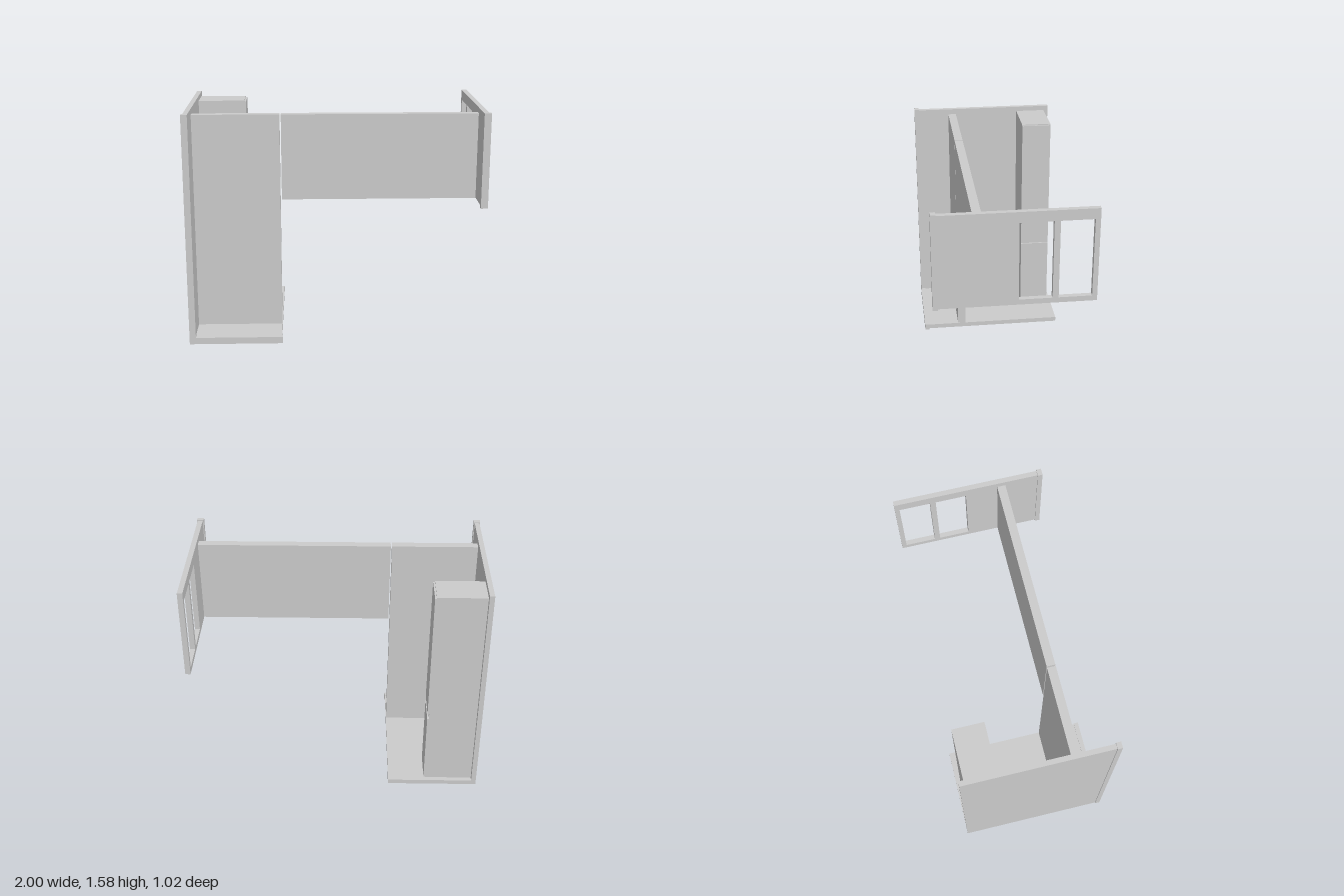
import * as THREE from 'three';

const mat = new THREE.MeshStandardMaterial({ color: 0xcccccc, flatShading: true });

export function createModel() {
  const root = new THREE.Group();

  const add = (name, geo) => {
    const m = new THREE.Mesh(geo, mat);
    m.name = name;
    root.add(m);
    return m;
  };
  // Box given by its limits on each axis
  const box = (name, x0, x1, y0, y1, z0, z1) =>
    add(name, new THREE.BoxGeometry(x1 - x0, y1 - y0, z1 - z0))
      .position.set((x0 + x1) / 2, (y0 + y1) / 2, (z0 + z1) / 2);
  // L-shaped section (upright plus foot) extruded along z
  const ell = (name, x0, xi, x1, y0, yi, y1, z0, z1) => {
    const pts = [[x0, y0], [x1, y0], [x1, yi], [xi, yi], [xi, y1], [x0, y1]];
    const shape = new THREE.Shape(pts.map(p => new THREE.Vector2(...p)));
    add(name, new THREE.ExtrudeGeometry(shape, { depth: z1 - z0, bevelEnabled: false })).position.z = z0;
  };
  const rect = (Type, a0, a1, b0, b1) => new Type([
    new THREE.Vector2(a0, b0), new THREE.Vector2(a1, b0),
    new THREE.Vector2(a1, b1), new THREE.Vector2(a0, b1)]);

  // Side wall and floor, with a slightly thicker front trim
  ell('sideWallAndFloor', -0.995, -0.962, -0.372, 0.007, 0.04, 1.573, -0.51, 0.477);
  ell('floorFrontTrim', -1, -0.957, -0.367, 0, 0.046, 1.58, 0.477, 0.51);

  // Partition: tall panel by the side wall, raised panel across the opening
  box('tallPartition', -0.962, -0.374, 0.04, 1.534, 0.197, 0.254);
  box('raisedPartition', -0.365, 0.96, 0.948, 1.534, 0.197, 0.254);

  // Far wall with two windows; shape drawn in (-z, y) and extruded along x
  const wall = rect(THREE.Shape, -0.477, 0.51, 0.95, 1.573);
  for (const a of [0.02, 0.268]) wall.holes.push(rect(THREE.Path, a, a + 0.21, 0.985, 1.503));
  const far = add('windowWall', new THREE.ExtrudeGeometry(wall, { depth: 0.035, bevelEnabled: false }));
  far.rotation.y = Math.PI / 2;
  far.position.x = 0.96;
  box('windowWallFrontTrim', 0.953, 1, 0.943, 1.58, 0.477, 0.51);

  // Cupboard with two doors and a gap between them
  box('cupboardBody', -0.962, -0.637, 0.04, 1.54, -0.478, -0.268);
  box('lowerDoor', -0.637, -0.625, 0.045, 0.57, -0.478, -0.268);
  box('upperDoor', -0.637, -0.625, 0.608, 1.533, -0.478, -0.268);

  return root;
}
